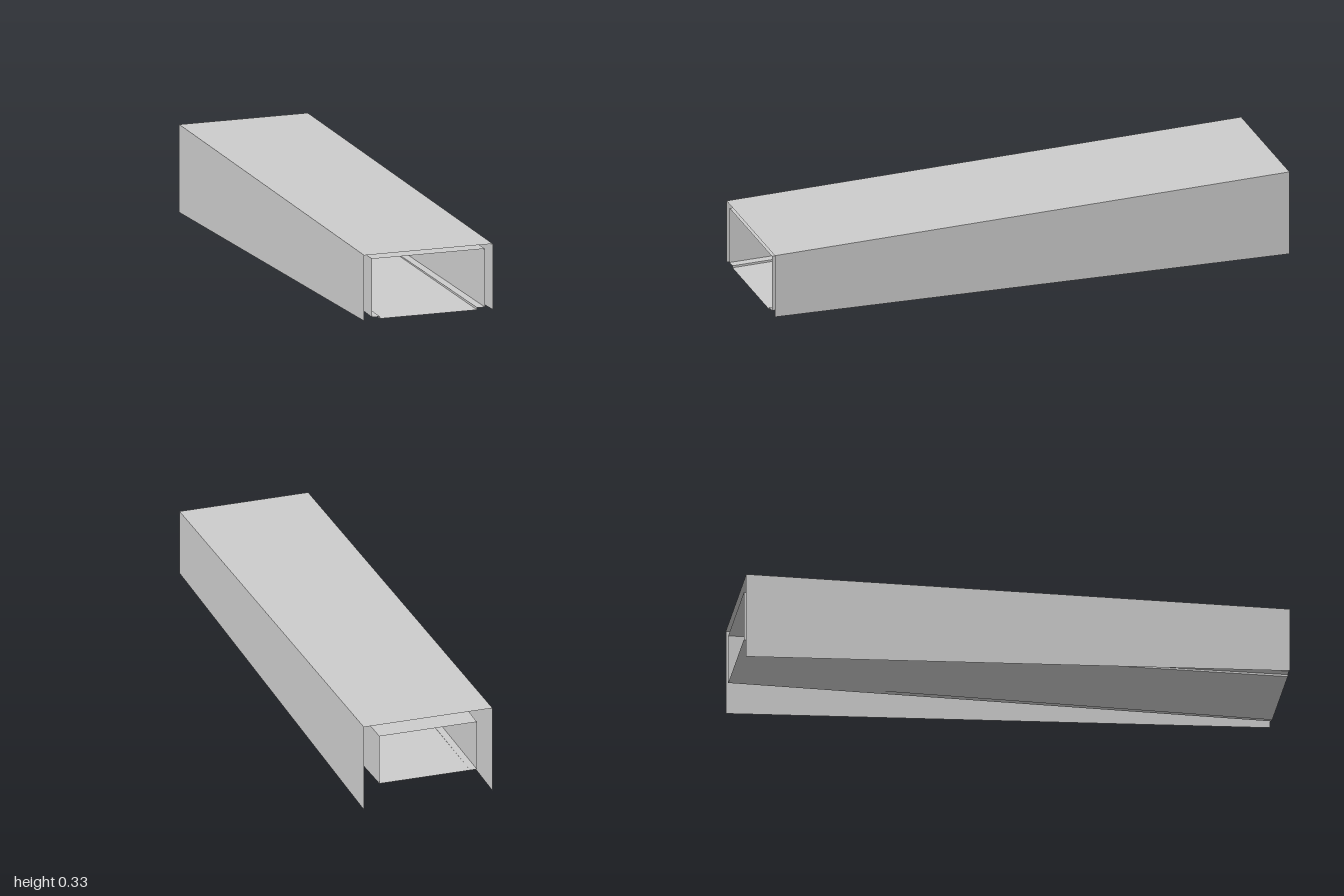
import * as THREE from 'three';

const material = new THREE.MeshStandardMaterial({
  color: 0xcccccc, flatShading: true, side: THREE.DoubleSide,
});

// Thin sheet stretched from a front section (z = 1) to a back section (z = -1)
function sheet(name, front, back) {
  const pos = [];
  for (let i = 0; i < front.length - 1; i++) {
    const a = [...front[i], 1], b = [...front[i + 1], 1];
    const c = [...back[i + 1], -1], d = [...back[i], -1];
    pos.push(...a, ...b, ...c, ...a, ...c, ...d);
  }
  const geo = new THREE.BufferGeometry();
  geo.setAttribute('position', new THREE.Float32BufferAttribute(pos, 3));
  geo.computeVertexNormals();
  const mesh = new THREE.Mesh(geo, material);
  mesh.name = name;
  return mesh;
}

// Upside-down U section, open at the bottom
const hood = (w, top, bottom) => [[w, bottom], [w, top], [-w, top], [-w, bottom]];

// Floor section: flat ledges beside a recessed gutter
const gutter = (w, ledgeY, inner, floorY) => [
  [-w, ledgeY], [-inner, ledgeY], [-inner, floorY],
  [inner, floorY], [inner, ledgeY], [w, ledgeY],
];

export function createModel() {
  const group = new THREE.Group();
  group.name = 'taperedDuct';

  // Outer cover: top and two sides that deepen towards the back
  group.add(sheet('outerCover', hood(0.248, 0.33, 0.083), hood(0.248, 0.33, 0)));

  // Inner duct: narrows towards the back
  group.add(sheet('innerDuct', hood(0.218, 0.314, 0.095), hood(0.188, 0.284, 0.095)));

  // Duct floor: the gutter fades out at the back
  group.add(sheet('ductFloor',
    gutter(0.218, 0.095, 0.188, 0.087), gutter(0.188, 0.095, 0.162, 0.095)));

  return group;
}
